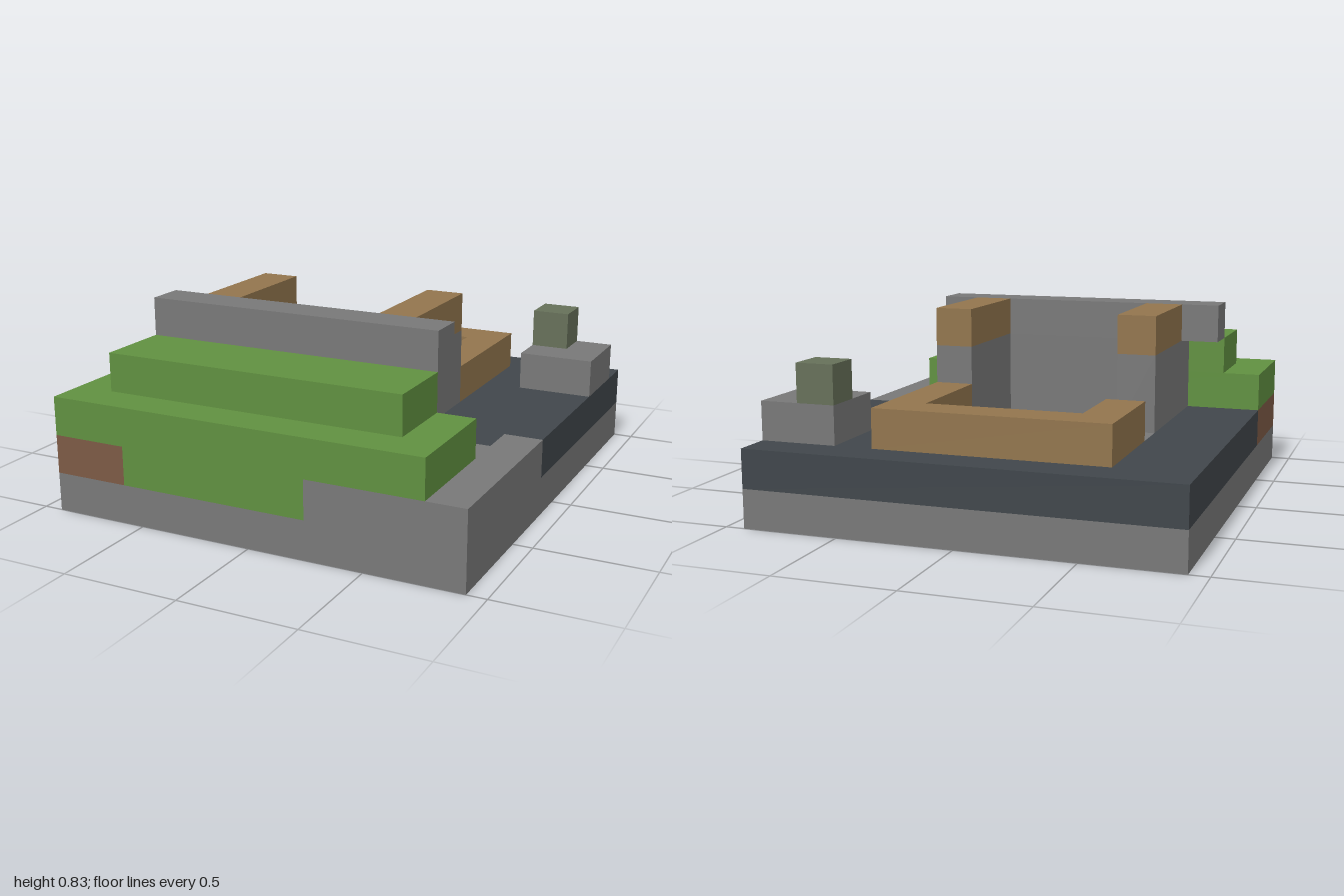
import * as THREE from 'three';

const U = 1 / 6; // one building block

const paint = (name, color) => {
  const m = new THREE.MeshStandardMaterial({ color });
  m.name = name;
  return m;
};

export function createModel() {
  const stone = paint('stone', 0x787878);
  const slate = paint('slate', 0x40464b);
  const grass = paint('grass', 0x609040);
  const wood = paint('wood', 0x92754d);
  const dirt = paint('dirt', 0x7c5a45);
  const moss = paint('mossy stone', 0x667059);
  const leaf = paint('leaf', 0x3a682c);

  const model = new THREE.Group();
  model.name = 'stoneWell';

  // Box given by block ranges: x 0..11 (right to left), y 0..5, z 0..12 (back to front)
  const block = (name, mat, [x0, x1], [y0, y1], [z0, z1]) => {
    const mesh = new THREE.Mesh(
      new THREE.BoxGeometry((x1 - x0) * U, (y1 - y0) * U, (z1 - z0) * U), mat);
    mesh.position.set(((x0 + x1) / 2 - 5.5) * U, ((y0 + y1) / 2) * U, ((z0 + z1) / 2 - 6) * U);
    mesh.name = name;
    model.add(mesh);
  };

  // Rectangular ring around the pit (pit is x 3..7, z 2..8)
  const ring = (name, mat, [x0, x1], y, [z0, z1]) => {
    block(name + 'Back', mat, [x0, x1], y, [z0, 2]);
    block(name + 'Front', mat, [x0, x1], y, [8, z1]);
    block(name + 'Right', mat, [x0, 3], y, [2, 8]);
    block(name + 'Left', mat, [7, x1], y, [2, 8]);
  };

  // Base slab and the stone lining of the pit
  ring('baseSlab', stone, [0, 11], [0, 1], [0, 12]);
  ring('pitLining', stone, [2, 8], [1, 2], [1, 9]);

  // Bushes in the pit
  block('longBush', leaf, [3, 6], [0, 1], [7, 8]);
  block('leftBush', leaf, [6, 7], [0, 1], [6, 7]);
  block('rightBush', leaf, [3, 4], [0, 1], [5, 6]);

  // Paving around the pit
  block('backPaving', slate, [0, 11], [1, 2], [0, 1]);
  block('rightPaving', slate, [0, 2], [1, 2], [1, 9]);
  block('leftPaving', slate, [8, 11], [1, 2], [1, 7]);
  block('leftPavingEnd', slate, [8, 10], [1, 2], [7, 8]);

  // Stone ledge at the front left
  block('ledgeEnd', stone, [10, 11], [1, 2], [7, 8]);
  block('ledgeSide', stone, [8, 11], [1, 2], [8, 9]);
  block('ledgeFront', stone, [7, 11], [1, 2], [9, 12]);

  // Stepped grassy bank with exposed dirt
  block('dirtCorner', dirt, [0, 2], [1, 2], [9, 12]);
  block('bankFoot', grass, [2, 7], [1, 2], [9, 12]);
  block('bankLower', grass, [0, 10], [2, 3], [9, 12]);
  block('bankUpper', grass, [1, 9], [3, 4], [9, 11]);

  // Front wall, its overhanging lintel, and the two timber-capped side walls
  block('frontWall', stone, [2, 8], [2, 4], [8, 9]);
  block('lintel', stone, [1, 9], [4, 5], [8, 9]);
  for (const [side, x] of [['right', 2], ['left', 7]]) {
    block(side + 'Wall', stone, [x, x + 1], [2, 4], [5, 8]);
    block(side + 'Beam', wood, [x, x + 1], [4, 5], [5, 8]);
  }

  // Low timber curb, with an opening on the right side
  block('backCurb', wood, [2, 8], [2, 3], [1, 2]);
  block('rightCurb', wood, [2, 3], [2, 3], [2, 4]);
  block('leftCurb', wood, [7, 8], [2, 3], [2, 5]);

  // Pedestal with a mossy post
  block('pedestal', stone, [9, 11], [2, 3], [1, 3]);
  block('mossyPost', moss, [9, 10], [3, 4], [1, 2]);

  return model;
}
